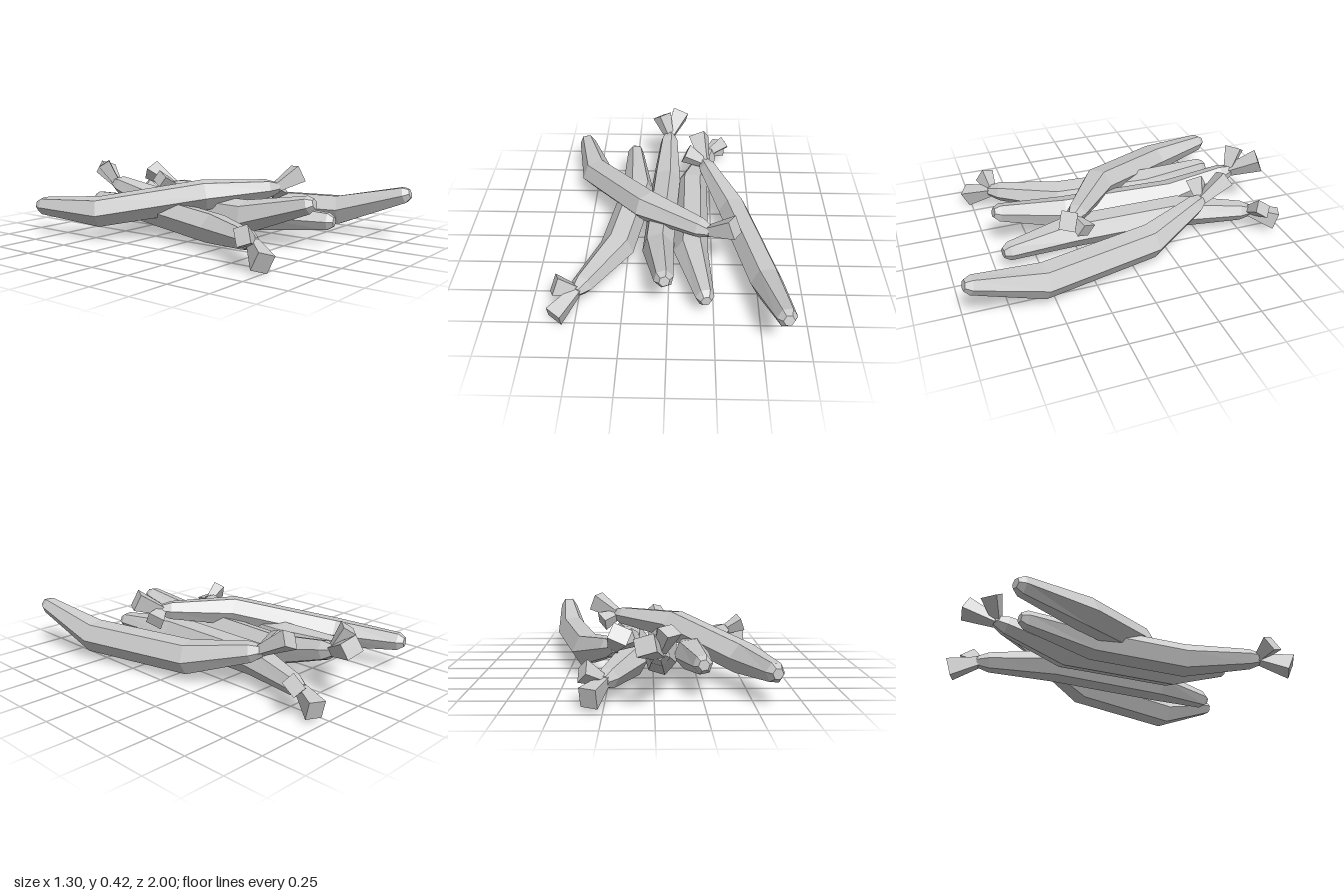
import * as THREE from 'three';

const vec = (p) => new THREE.Vector3(...p);
const material = new THREE.MeshStandardMaterial({ color: 0xcccccc, flatShading: true });

// Closed loft: each ring is { p: centre, u: radius along up, v: radius sideways }
function loft(rings, up, sides, twist = 0) {
  const positions = [];
  const index = [];
  rings.forEach((ring, k) => {
    const before = rings[Math.max(k - 1, 0)].p;
    const after = rings[Math.min(k + 1, rings.length - 1)].p;
    const t = after.clone().sub(before).normalize();
    const u = up.clone().addScaledVector(t, -up.dot(t)).normalize();
    const v = t.clone().cross(u);
    for (let i = 0; i < sides; i++) {
      const a = (i / sides) * Math.PI * 2 + twist;
      const q = ring.p.clone()
        .addScaledVector(u, Math.cos(a) * ring.u)
        .addScaledVector(v, Math.sin(a) * ring.v);
      positions.push(q.x, q.y, q.z);
    }
  });
  for (let k = 0; k < rings.length - 1; k++) {
    for (let i = 0; i < sides; i++) {
      const a = k * sides + i;
      const b = k * sides + ((i + 1) % sides);
      index.push(a, b, b + sides, a, b + sides, a + sides);
    }
  }
  const last = (rings.length - 1) * sides;
  for (let i = 1; i < sides - 1; i++) {
    index.push(0, i + 1, i, last, last + i, last + i + 1);
  }
  const geometry = new THREE.BufferGeometry();
  geometry.setAttribute('position', new THREE.Float32BufferAttribute(positions, 3));
  geometry.setIndex(index);
  geometry.computeVertexNormals();
  return geometry;
}

function addMesh(group, name, geometry) {
  const mesh = new THREE.Mesh(geometry, material);
  mesh.name = name;
  group.add(mesh);
}

// One pod: spine runs tip, lower belly, upper belly, neck; the stem forks in two
function makePod({ name, spine, longEnd, shortEnd }) {
  const pod = new THREE.Group();
  pod.name = name;
  const [tip, lower, upper, neck] = spine.map(vec);

  // The pod curves towards "up"
  const up = tip.clone().add(neck).sub(lower).sub(upper).normalize();
  const tipDir = tip.clone().sub(lower).normalize();
  const neckDir = neck.clone().sub(upper).normalize();
  const end = tip.clone().addScaledVector(tipDir, 0.035);
  const node = neck.clone().addScaledVector(neckDir, 0.07);

  addMesh(pod, 'body', loft([
    { p: end, u: 0.03, v: 0.03 },
    { p: tip, u: 0.052, v: 0.055 },
    { p: lower, u: 0.1, v: 0.092 },
    { p: upper, u: 0.1, v: 0.092 },
    { p: neck, u: 0.06, v: 0.058 },
    { p: node, u: 0.032, v: 0.032 },
  ], up, 6));

  // Flaring four-sided stem pieces
  const root = node.clone().addScaledVector(neckDir, -0.02);
  addMesh(pod, 'longStem', loft([
    { p: root, u: 0.035, v: 0.035 },
    { p: vec(longEnd), u: 0.065, v: 0.075 },
  ], up, 4, Math.PI / 4));
  addMesh(pod, 'shortStem', loft([
    { p: root, u: 0.03, v: 0.03 },
    { p: vec(shortEnd), u: 0.055, v: 0.07 },
  ], up, 4, Math.PI / 4));
  return pod;
}

const PODS = [
  {
    name: 'leftPod',
    spine: [[0.6, 0.25, 0.95], [0.54, 0.13, 0.56], [0.385, 0.13, -0.11], [0.235, 0.21, -0.45]],
    longEnd: [0.175, 0.32, -0.67],
    shortEnd: [0.09, 0.28, -0.52],
  },
  {
    name: 'middlePod',
    spine: [[-0.02, 0.245, 0.67], [-0.065, 0.14, 0.28], [-0.035, 0.14, -0.4], [-0.025, 0.23, -0.75]],
    longEnd: [0.045, 0.32, -0.97],
    shortEnd: [-0.075, 0.37, -0.86],
  },
  {
    name: 'innerLeftPod',
    spine: [[0.2, 0.12, 0.67], [0.125, 0.12, 0.29], [0.13, 0.12, -0.39], [0.235, 0.11, -0.76]],
    longEnd: [0.32, 0.06, -0.965],
    shortEnd: [0.355, 0.17, -0.85],
  },
  {
    name: 'rightPod',
    spine: [[-0.25, 0.17, -0.71], [-0.21, 0.14, -0.3], [-0.305, 0.105, 0.24], [-0.47, 0.115, 0.58]],
    longEnd: [-0.605, 0.05, 0.765],
    shortEnd: [-0.61, 0.17, 0.645],
  },
  {
    name: 'topPod',
    spine: [[-0.595, 0.16, -0.855], [-0.49, 0.15, -0.475], [-0.13, 0.255, 0.035], [0.18, 0.275, 0.265]],
    longEnd: [0.365, 0.355, 0.365],
    shortEnd: [0.32, 0.24, 0.25],
  },
];

export function createModel() {
  const model = new THREE.Group();
  model.name = 'podPile';
  PODS.forEach((pod) => model.add(makePod(pod)));
  return model;
}
